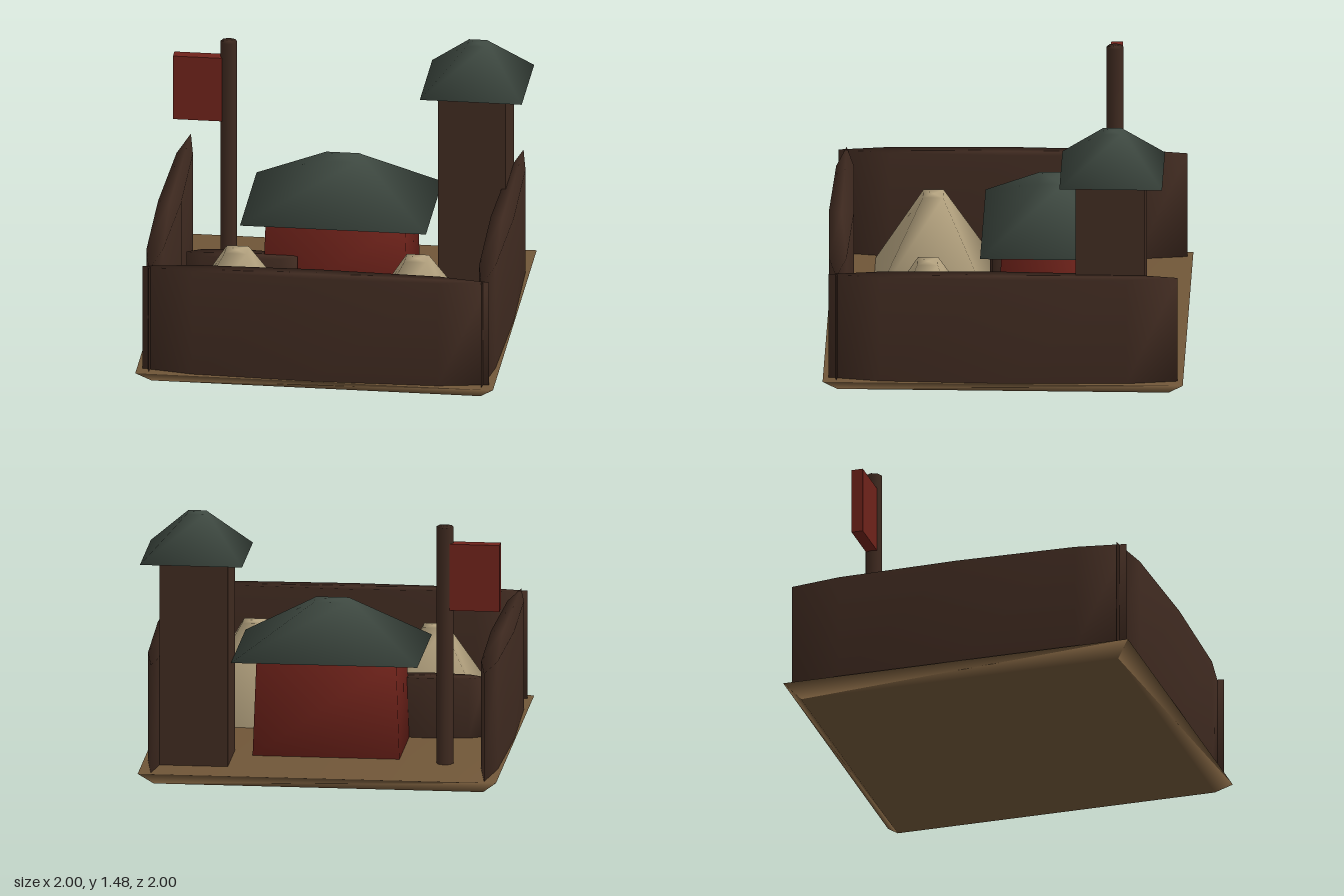
import * as THREE from 'three';
import { mergeVertices } from 'three/addons/utils/BufferGeometryUtils.js';

const mat = (color) => new THREE.MeshStandardMaterial({ color });
const wood = mat(0x3f2a20), earth = mat(0x705638), slate = mat(0x3f4a42),
  red = mat(0x6e221a), canvas = mat(0xb8a682);

// Weld all corners so that shading runs smoothly over every edge
function weld(geometry) {
  geometry.deleteAttribute('normal');
  geometry.deleteAttribute('uv');
  const welded = mergeVertices(geometry, 1e-4);
  welded.computeVertexNormals();
  return welded;
}

// Four-sided block whose half widths go from (hx, hz) below to a share of them on top
function frustum(hx, hz, height, taper) {
  const g = new THREE.CylinderGeometry(Math.SQRT2 * taper, Math.SQRT2, height, 4);
  g.rotateY(Math.PI / 4).scale(hx, 1, hz).translate(0, height / 2, 0);
  return weld(g);
}

// Upright eight-sided post, squashed to (rx, rz)
function post(rx, rz, height) {
  const g = new THREE.CylinderGeometry(1, 1, height, 8);
  g.scale(rx, 1, rz).translate(0, height / 2, 0);
  return weld(g);
}

export function createModel() {
  const model = new THREE.Group();
  model.name = 'walledCamp';
  const add = (name, geometry, material, x, y, z) => {
    const mesh = new THREE.Mesh(geometry, material);
    mesh.name = name;
    mesh.position.set(x, y, z);
    model.add(mesh);
    return mesh;
  };
  const ground = 0.073;

  // Ground slab, wider at the top
  add('groundSlab', frustum(0.92, 0.92, ground, 1 / 0.92), earth, 0, 0, 0);

  // Palisade: lens-shaped walls on three sides and a short inner screen
  add('frontWall', post(0.97, 0.07, 0.617), wood, 0, ground, 0.925);
  for (const side of [-1, 1]) {
    add(side < 0 ? 'rightWall' : 'leftWall', post(0.065, 0.97, 0.617), wood, side * 0.93, ground, 0);
  }
  add('innerScreen', post(0.31, 0.07, 0.34), wood, -0.52, ground, 0.045);

  // Main house
  add('houseBody', frustum(0.41, 0.28, 0.557, 0.95), red, 0, ground, -0.24);
  add('houseRoof', frustum(0.52, 0.38, 0.28, 0.175), slate, 0, 0.625, -0.24);

  // Watchtower
  add('towerBody', new THREE.BoxGeometry(0.38, 1.167, 0.385), wood, 0.71, 0.6565, -0.594);
  add('towerRoof', frustum(0.285, 0.285, 0.237, 0.175), slate, 0.715, 1.24, -0.6);

  // Tents
  for (const side of [-1, 1]) {
    add(side < 0 ? 'rightTent' : 'leftTent', frustum(0.36, 0.33, 0.53, 0.17), canvas, side * 0.503, ground, 0.43);
  }

  // Flagpole with banner
  add('flagpole', post(0.047, 0.047, 1.355), wood, -0.67, ground, -0.575);
  add('banner', new THREE.BoxGeometry(0.28, 0.38, 0.065), red, -0.838, 1.145, -0.577);

  return model;
}
